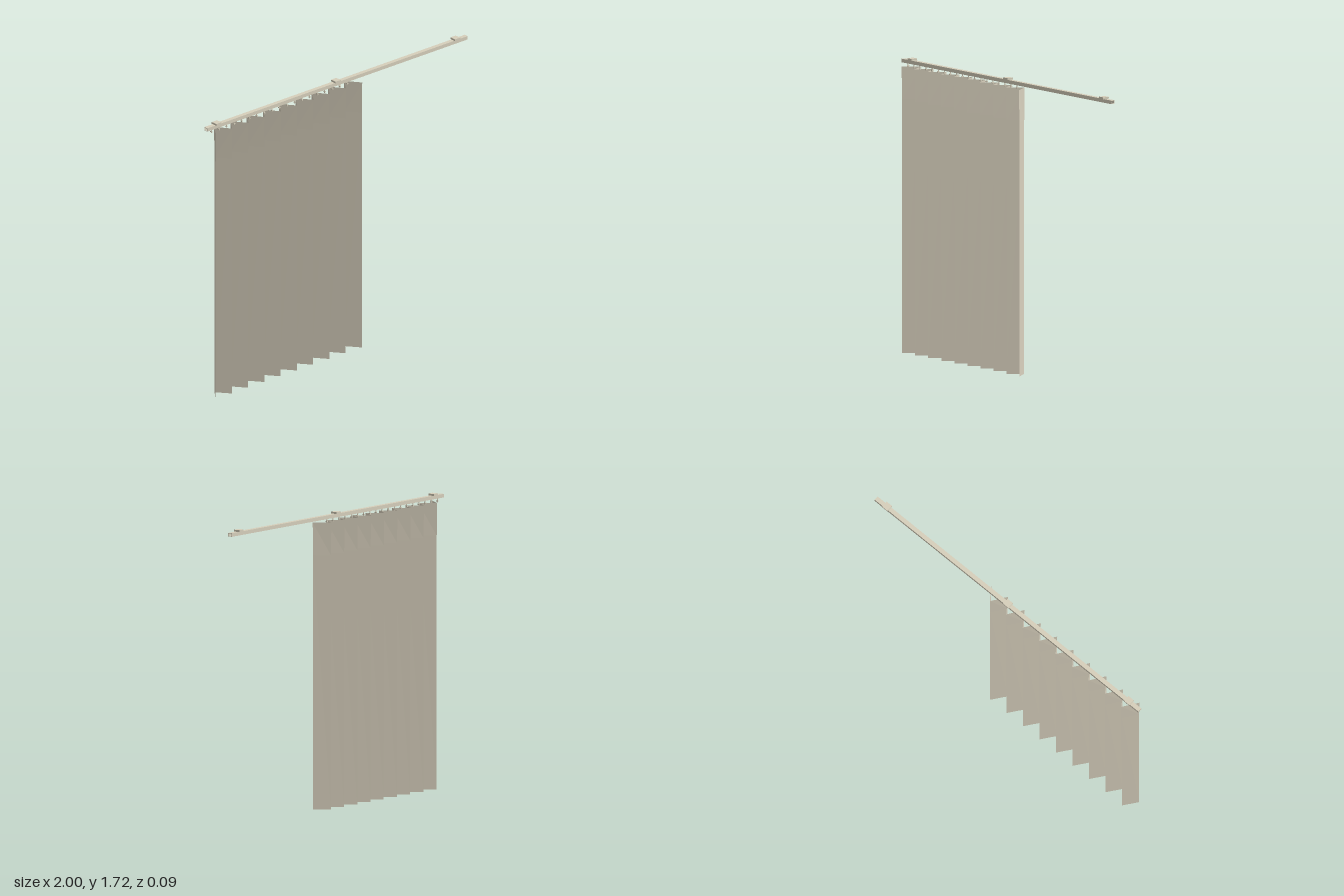
import * as THREE from 'three';

const fabric = new THREE.MeshStandardMaterial({ color: 0xdad2bf, side: THREE.DoubleSide, flatShading: true });
fabric.name = 'linen fabric';
const metal = new THREE.MeshStandardMaterial({ color: 0xd6cfbb });
metal.name = 'painted rail';

const X0 = -0.96, X1 = 0.163, FOLDS = 18;

// Pleated sheet: zigzag cross-sections stacked from hem to heading
function pleatedSheet() {
  const rows = [[0, 0.04], [1.48, 0.041], [1.67, 0.044]]; // height, fold depth
  const pos = [], index = [];
  for (const [y, depth] of rows) {
    for (let i = 0; i <= FOLDS; i++) {
      pos.push(X0 + (X1 - X0) * i / FOLDS, y, i % 2 ? -depth : depth);
    }
  }
  const n = FOLDS + 1;
  for (let r = 0; r < rows.length - 1; r++) {
    for (let i = 0; i < FOLDS; i++) {
      const a = r * n + i, b = a + 1, c = a + n, d = c + 1;
      index.push(a, b, d, a, d, c);
    }
  }
  const g = new THREE.BufferGeometry();
  g.setAttribute('position', new THREE.Float32BufferAttribute(pos, 3));
  g.setIndex(index);
  const flat = g.toNonIndexed();
  flat.computeVertexNormals();
  return flat;
}

// Rail with a slot along its underside
function railGeometry() {
  const s = new THREE.Shape([
    [-0.013, 1.688], [-0.004, 1.688], [-0.004, 1.691], [-0.010, 1.691],
    [-0.010, 1.706], [0.010, 1.706], [0.010, 1.691], [0.004, 1.691],
    [0.004, 1.688], [0.013, 1.688], [0.013, 1.709], [-0.013, 1.709],
  ].map(([x, y]) => new THREE.Vector2(x, y)));
  const g = new THREE.ExtrudeGeometry(s, { depth: 2, bevelEnabled: false });
  return g.translate(0, 0, -1).rotateY(Math.PI / 2);
}

export function createModel() {
  const model = new THREE.Group();
  model.name = 'curtainOnRail';
  const add = (name, geometry, material, x = 0, y = 0, z = 0, parent = model) => {
    const m = new THREE.Mesh(geometry, material);
    m.name = name;
    m.position.set(x, y, z);
    parent.add(m);
    return m;
  };

  add('curtain', pleatedSheet(), fabric);
  add('rail', railGeometry(), metal);

  // Ceiling brackets
  const bracket = new THREE.BoxGeometry(0.04, 0.011, 0.04);
  for (const x of [-0.917, 0, 0.917]) add('ceilingBracket', bracket, metal, x, 1.7145);

  // Gliders: a small carriage inside the rail and a hook down to the fabric
  const carriage = new THREE.BoxGeometry(0.012, 0.008, 0.014);
  const stem = new THREE.CylinderGeometry(0.003, 0.003, 0.032, 8);
  const foot = new THREE.BoxGeometry(0.008, 0.006, 0.012);
  for (let i = 0; i < 19; i++) {
    const glider = new THREE.Group();
    glider.name = 'glider';
    glider.position.x = -0.957 + i * 0.058;
    add('carriage', carriage, metal, 0, 1.696, 0, glider);
    add('hook', stem, metal, 0, 1.68, 0, glider);
    add('hookFoot', foot, metal, 0, 1.672, 0, glider);
    model.add(glider);
  }
  return model;
}
